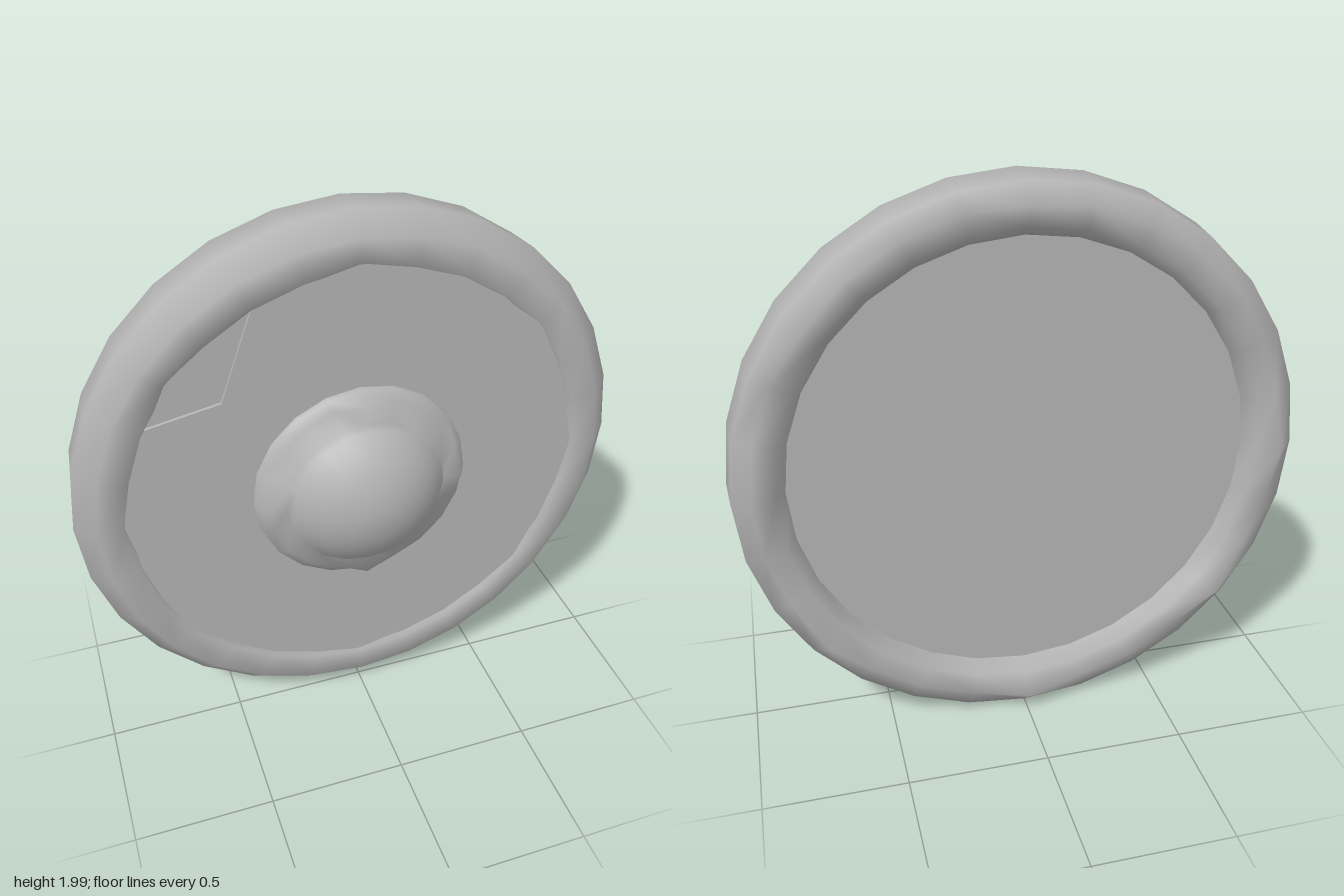
import * as THREE from 'three';
import { mergeVertices } from 'three/addons/utils/BufferGeometryUtils.js';

// Spin an (r, z) profile about the z axis, shift its vertices by a rule, weld and smooth it
function spin(profile, sides, rule) {
  const lathe = new THREE.LatheGeometry(profile.map(([r, z]) => new THREE.Vector2(r, z)), sides);
  lathe.rotateX(Math.PI / 2);
  const p = lathe.attributes.position;
  for (let i = 0; i < p.count; i++) {
    const x = p.getX(i), y = p.getY(i), radius = Math.hypot(x, y);
    const degrees = (Math.round(THREE.MathUtils.radToDeg(Math.atan2(y, x))) + 360) % 360;
    const [r, z] = rule(radius, p.getZ(i), degrees);
    const k = radius > 1e-6 ? r / radius : 1;
    p.setXYZ(i, x * k, y * k, z);
  }
  lathe.deleteAttribute('normal');
  lathe.deleteAttribute('uv');
  const geometry = mergeVertices(lathe, 1e-4);
  geometry.computeVertexNormals();
  return geometry;
}

export function createModel() {
  const shield = new THREE.Group();
  shield.name = 'roundShield';
  const grey = new THREE.MeshStandardMaterial({ color: 0xb4b4b4 });
  grey.name = 'plain grey';
  const add = (name, geometry) => {
    const mesh = new THREE.Mesh(geometry, grey);
    mesh.name = name;
    mesh.position.y = 1;
    shield.add(mesh);
  };

  // Hammered rim: a rounded ring with eight peaks on its back and dents inside its front edge
  const peaks = [0, 39, 90, 141, 180, 219, 270, 321];
  const rimProfile = [
    [0.805, -0.14], [0.845, -0.2], [0.92, -0.205], [0.985, -0.18], [0.997, -0.03],
    [0.925, 0.042], [0.825, 0.042], [0.802, -0.02], [0.805, -0.14],
  ];
  add('rim', spin(rimProfile, 28, (r, z, deg) => {
    const peak = peaks.includes(deg);
    if (peak && r > 0.9 && r < 0.95 && z < -0.2) return [r, -0.248];
    if (peak && r < 0.85 && z > 0) return [r + 0.015, z - 0.01];
    return [r, z];
  }));

  // Solid backing board
  const board = new THREE.CylinderGeometry(0.86, 0.86, 0.155, 56);
  board.rotateX(Math.PI / 2);
  board.translate(0, 0, -0.0675);
  add('backBoard', board);

  // Front plate with a chipped corner at the upper edge
  const plate = new THREE.Shape();
  plate.moveTo(-0.47, 0.42);
  for (let i = 0; i <= 32; i++) {
    const a = THREE.MathUtils.degToRad(155.5 + (316.7 * i) / 32);
    plate.lineTo(0.868 * Math.cos(a), 0.868 * Math.sin(a));
  }
  plate.closePath();
  const plateGeometry = new THREE.ExtrudeGeometry(plate, { depth: 0.016, bevelEnabled: false });
  plateGeometry.translate(0, 0, 0.006);
  add('frontPlate', plateGeometry);

  // Boss: a sloping collar with four raised corners that runs smoothly into a shallow dome
  const R = 0.355;
  const bossProfile = [[0.392, 0.015], [0.388, 0.042], [0.355, 0.06], [0.29, 0.1]];
  for (let i = 8; i >= 0; i--) {
    const a = 0.88 * (i / 8);
    bossProfile.push([R * Math.sin(a), 0.25 - R + R * Math.cos(a)]);
  }
  add('boss', spin(bossProfile, 20, (r, z, deg) => {
    const raised = deg % 90 === 0 && r > 0.35 && r < 0.36;
    return raised ? [r, 0.105] : [r, z];
  }));

  return shield;
}
